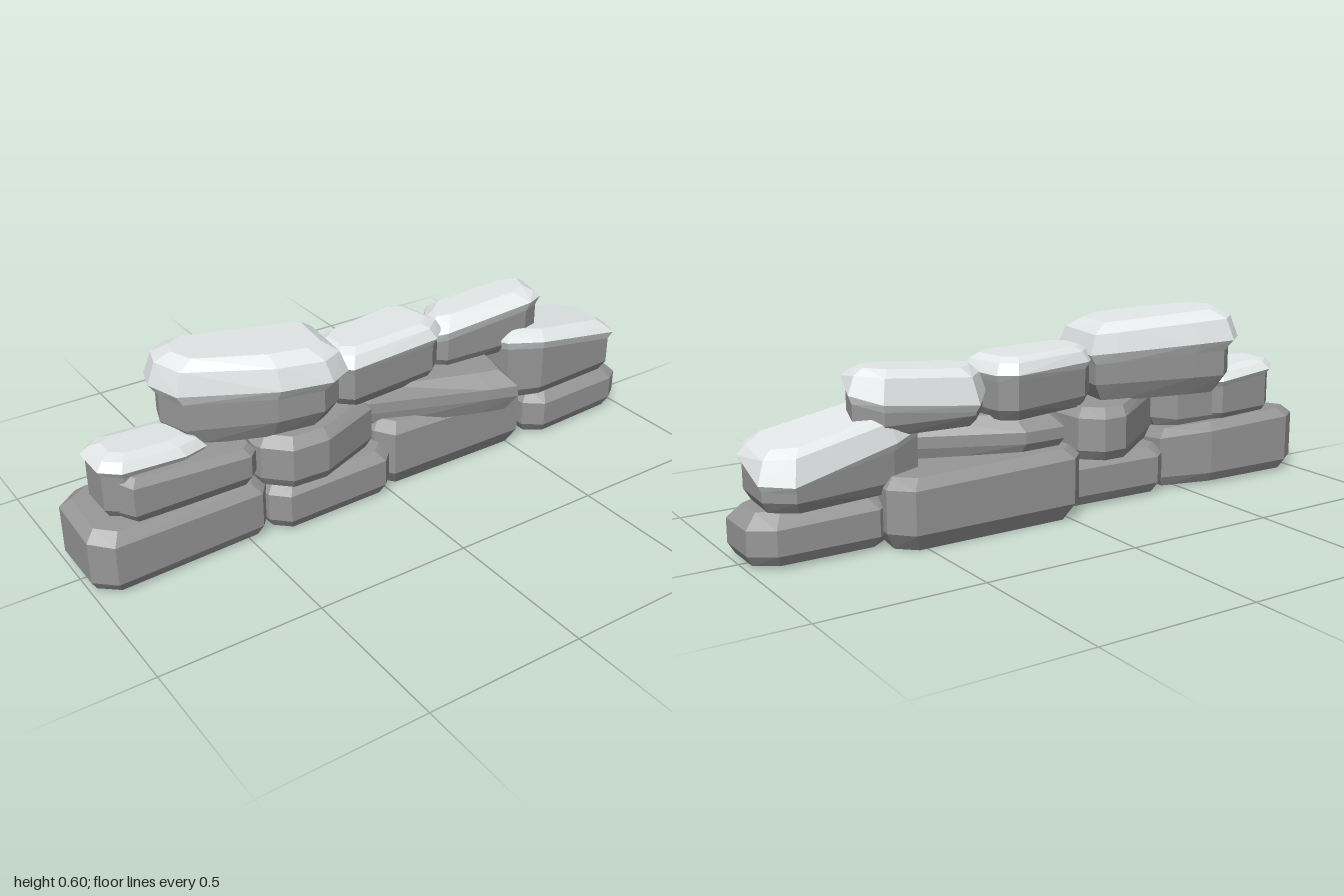
import * as THREE from 'three';
import { ConvexGeometry } from 'three/addons/geometries/ConvexGeometry.js';

const material = (name, color) => {
  const m = new THREE.MeshStandardMaterial({ color });
  m.name = name;
  return m;
};

// Hull over stacked rings: each ring is the outline drawn in by an inset at height y,
// leaning along x and z by its own tilts.
function hull(outline, rings) {
  const xs = outline.map(p => p[0]), zs = outline.map(p => p[1]);
  const minX = Math.min(...xs), maxX = Math.max(...xs);
  const minZ = Math.min(...zs), maxZ = Math.max(...zs);
  const cx = (minX + maxX) / 2, cz = (minZ + maxZ) / 2;
  const hx = (maxX - minX) / 2, hz = (maxZ - minZ) / 2;
  const points = [];
  for (const [inset, y, tiltX = 0, tiltZ = 0] of rings) {
    for (const [x, z] of outline) {
      const dx = (x - cx) * (1 - inset / hx), dz = (z - cz) * (1 - inset / hz);
      points.push(new THREE.Vector3(cx + dx, y + tiltX * dx + tiltZ * dz, cz + dz));
    }
  }
  return new ConvexGeometry(points);
}

export function createModel() {
  const wall = new THREE.Group();
  wall.name = 'snowyStoneWall';
  const stone = material('stone grey', 0x979797);
  const snow = material('snow white', 0xe4e8e8);

  const add = (name, geometry, mat) => {
    const mesh = new THREE.Mesh(geometry, mat);
    mesh.name = name;
    wall.add(mesh);
  };

  // Bare stone with a small lower and a wider upper chamfer
  const bare = (name, outline, y0, y1, { tilt = [0, 0], low = 0.018, high = 0.03 } = {}) =>
    add(name, hull(outline,
      [[low, y0], [0, y0 + low * 1.8], [0, y1 - high, ...tilt], [high, y1, ...tilt]]), stone);

  // Stone with a snow cap; edge tilts the snow line, top tilts the crown
  const capped = (name, outline, y0, ySnow, y1,
    { edge = [0, 0], top = [0, 0], lip = 0.012, foot = 0.02, crown = 0.06 }) => {
    const h = y1 - ySnow;
    add(name + 'Stone', hull(outline,
      [[lip + foot, y0], [lip, y0 + foot * 1.7], [lip, ySnow + 0.01, ...edge]]), stone);
    add(name + 'Snow', hull(outline,
      [[lip, ySnow - 0.01, ...edge], [0, ySnow + h * 0.2, ...edge],
        [0.022, ySnow + h * 0.75, ...top], [crown, y1, ...top]]), snow);
  };

  // Bottom course
  bare('baseFarRight', [[-1, -0.1], [-0.93, -0.15], [-0.6, -0.14], [-0.42, -0.09],
    [-0.42, 0.07], [-0.46, 0.12], [-0.94, 0.145], [-1, 0.09]], 0.01, 0.205, { tilt: [-0.03, -0.1] });
  bare('baseMidRight', [[-0.44, -0.08], [-0.38, -0.13], [-0.05, -0.12], [0.02, -0.06],
    [0.02, 0.09], [-0.03, 0.14], [-0.38, 0.15], [-0.43, 0.1]], 0.01, 0.16);
  bare('baseMidLeft', [[-0.05, -0.15], [0, -0.2], [0.55, -0.205], [0.61, -0.14],
    [0.59, 0.03], [0.52, 0.12], [0.02, 0.12], [-0.02, 0.06]], 0, 0.22, { tilt: [-0.02, 0], low: 0.03 });
  bare('baseFarLeft', [[0.57, -0.08], [0.62, -0.12], [0.93, -0.12], [1, -0.07],
    [1, 0.08], [0.95, 0.115], [0.63, 0.135], [0.57, 0.09]], 0.01, 0.16, { tilt: [-0.02, 0], high: 0.04 });

  // Middle course
  bare('middleWedge', [[-0.88, -0.06], [-0.8, -0.1], [-0.5, -0.08], [-0.45, 0],
    [-0.46, 0.09], [-0.49, 0.12], [-0.86, 0.12], [-0.89, 0.07]], 0.195, 0.338, { tilt: [-0.06, -0.12], high: 0.02 });
  capped('middleFarRight', [[-0.935, -0.06], [-0.88, -0.11], [-0.66, -0.125], [-0.6, -0.07],
    [-0.6, 0.06], [-0.68, 0.09], [-0.88, 0.1], [-0.935, 0.06]], 0.2, 0.345, 0.388,
  { edge: [-0.08, 0], top: [-0.08, 0], crown: 0.055 });
  bare('middleSkewRight', [[-0.47, 0.02], [-0.45, 0.1], [-0.38, 0.17], [-0.26, 0.175],
    [-0.05, 0.09], [-0.06, -0.13], [-0.12, -0.19], [-0.2, -0.19]], 0.165, 0.33);
  bare('middleSkewLeft', [[-0.045, -0.06], [0, -0.14], [0.14, -0.14], [0.48, 0.01],
    [0.46, 0.12], [0.435, 0.21], [0.34, 0.18], [-0.03, 0.04]], 0.195, 0.335, { low: 0.03, high: 0.05 });
  capped('middleFarLeft', [[0.46, -0.08], [0.56, -0.12], [0.89, -0.165], [0.97, -0.1],
    [0.96, 0.08], [0.93, 0.125], [0.6, 0.145], [0.48, 0.1]], 0.16, 0.295, 0.37,
  { edge: [-0.17, 0.25], top: [-0.16, 0.07], crown: 0.05 });

  // Top course
  capped('topRight', [[-0.705, -0.08], [-0.68, -0.16], [-0.62, -0.21], [-0.5, -0.185], [-0.22, -0.115],
    [-0.135, -0.09], [-0.16, 0.13], [-0.24, 0.175], [-0.4, 0.15], [-0.67, 0.03]],
  0.325, 0.47, 0.59, { edge: [-0.04, 0], top: [-0.06, 0], lip: 0.025, foot: 0.035, crown: 0.07 });
  capped('topMiddle', [[-0.17, -0.05], [-0.12, -0.1], [0.18, -0.165], [0.235, -0.13],
    [0.26, 0.03], [0.2, 0.085], [-0.13, 0.115], [-0.175, 0.07]],
  0.325, 0.455, 0.515, { crown: 0.05 });
  capped('topLeft', [[0.23, -0.06], [0.3, -0.145], [0.6, -0.12], [0.68, -0.06],
    [0.65, 0.05], [0.58, 0.085], [0.26, 0.065], [0.21, 0.02]],
  0.325, 0.425, 0.508, { edge: [0.08, 0.35], top: [0.08, 0.05], crown: 0.055 });

  return wall;
}
